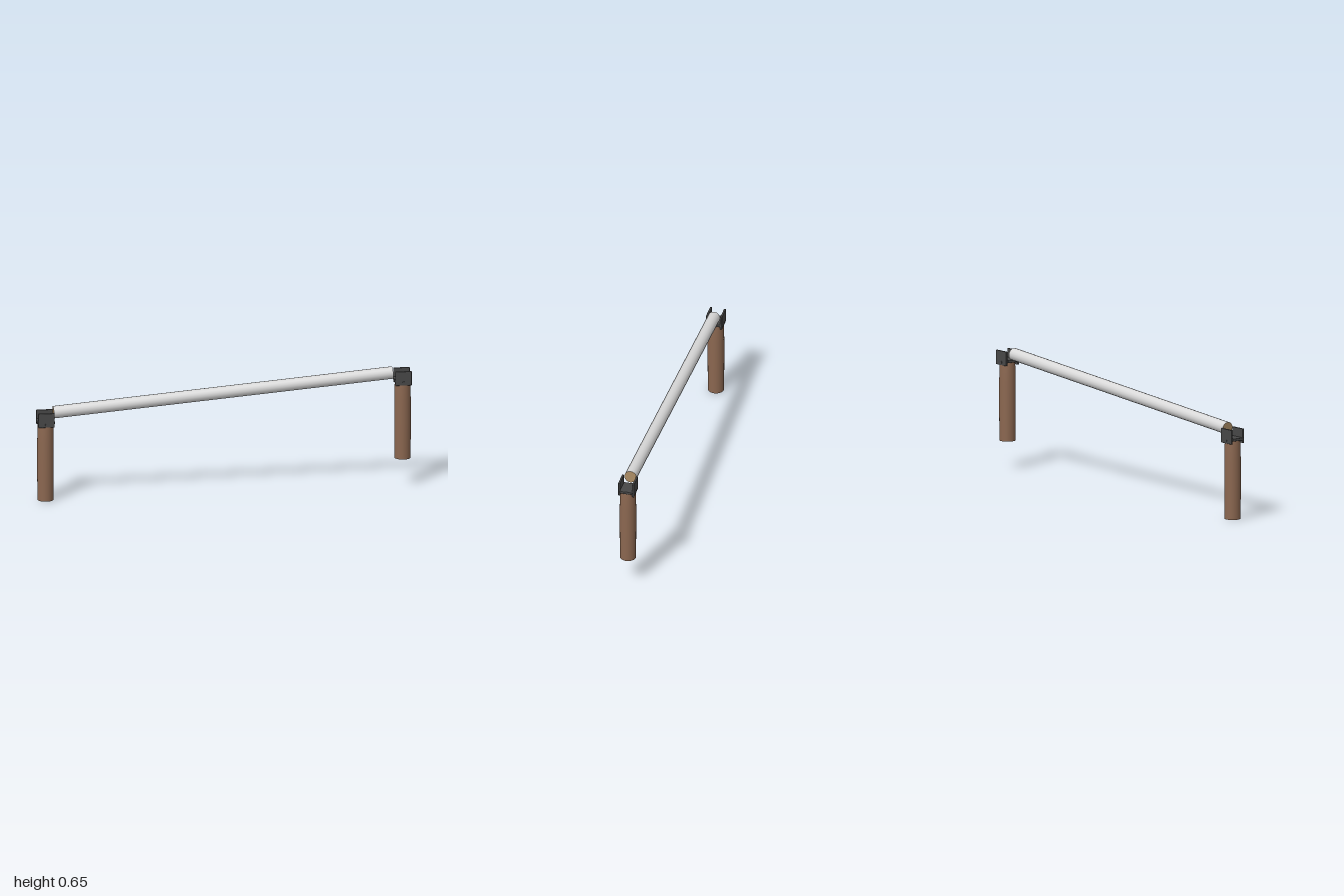
import * as THREE from 'three';
import { RoundedBoxGeometry } from 'three/addons/geometries/RoundedBoxGeometry.js';

const mat = (name, color) => {
  const m = new THREE.MeshStandardMaterial({ color });
  m.name = name;
  return m;
};

export function createModel() {
  const brown = mat('brown post', 0x8b6750);
  const tan = mat('cut wood', 0xa98a62);
  const pale = mat('pale rail', 0xd8d8d8);
  const dark = mat('dark bracket', 0x484848);

  const model = new THREE.Group();
  model.name = 'handrail';
  const add = (parent, name, geometry, material, x = 0, y = 0, z = 0) => {
    const mesh = new THREE.Mesh(geometry, material);
    mesh.name = name;
    mesh.position.set(x, y, z);
    parent.add(mesh);
    return mesh;
  };

  // Slightly bulging post with a narrowed top
  const shaft = [[0.0425, 0], [0.0435, 0.1], [0.044, 0.2], [0.0438, 0.32], [0.0425, 0.39], [0.04, 0.423]]
    .map(([r, y]) => new THREE.Vector2(r, y));
  const shaftGeo = new THREE.LatheGeometry(shaft, 24);
  const endGeo = new THREE.CircleGeometry(0.0425, 24).rotateX(Math.PI / 2);
  const topGeo = new THREE.CircleGeometry(0.04, 24).rotateX(-Math.PI / 2);

  // Saddle bracket parts
  const trayGeo = new RoundedBoxGeometry(0.093, 0.014, 0.068, 2, 0.002);
  const plateGeo = new RoundedBoxGeometry(0.087, 0.077, 0.01, 2, 0.002);
  const boltGeo = new THREE.CylinderGeometry(0.008, 0.008, 0.004, 12).rotateX(Math.PI / 2);

  for (const [side, x, y] of [['right', -0.953, 0], ['left', 0.953, 0.15]]) {
    const support = new THREE.Group();
    support.name = side + 'Support';
    support.position.set(x, y, 0);
    model.add(support);
    add(support, 'post', shaftGeo, brown);
    add(support, 'postFoot', endGeo, brown);
    add(support, 'postTop', topGeo, brown, 0, 0.423);
    add(support, 'bracketTray', trayGeo, dark, 0, 0.43);
    for (const s of [-1, 1]) {
      add(support, 'bracketPlate', plateGeo, dark, 0, 0.446, s * 0.038);
      add(support, 'bracketBolt', boltGeo, dark, 0, 0.422, s * 0.0435);
    }
  }

  // Sloping rail with exposed wooden ends
  const start = new THREE.Vector3(-0.911, 0.479, 0);
  const end = new THREE.Vector3(0.9, 0.62, 0);
  const length = start.distanceTo(end);
  const rail = new THREE.Group();
  rail.name = 'rail';
  rail.position.copy(start).lerp(end, 0.5);
  rail.rotation.z = Math.atan2(end.y - start.y, end.x - start.x);
  model.add(rail);
  add(rail, 'railTube', new THREE.CylinderGeometry(0.033, 0.033, length, 16, 1, true).rotateZ(-Math.PI / 2), pale);
  for (const s of [-1, 1]) {
    const cap = add(rail, 'railEnd', new THREE.CircleGeometry(0.033, 16), tan, s * length / 2);
    cap.rotation.y = s * Math.PI / 2;
  }
  return model;
}
